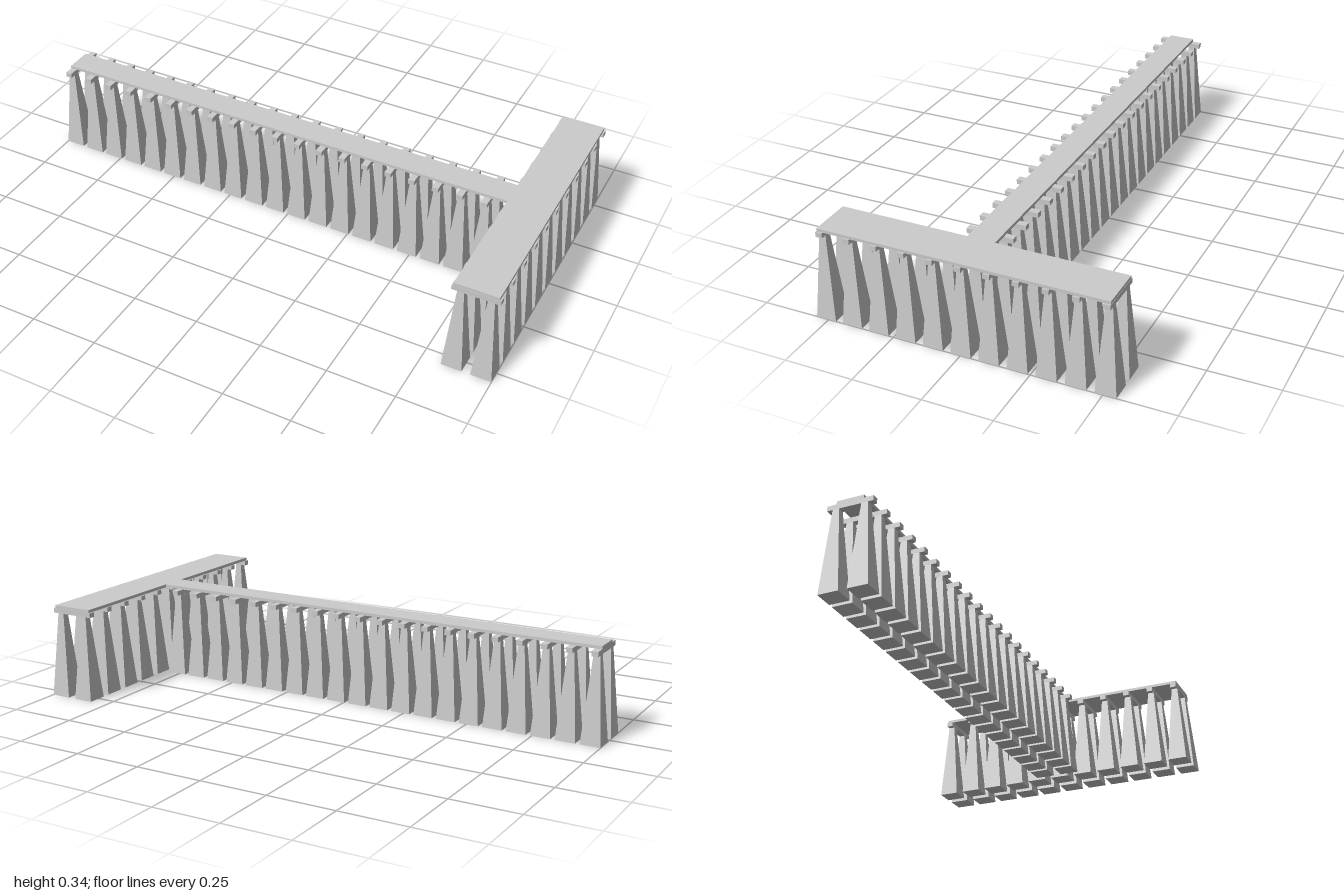
import * as THREE from 'three';

const LEG_TOP = 0.315, BEAM_TOP = 0.333, DECK_TOP = 0.344;
const LEG_OFFSET = 0.0525; // half the spacing of a pair of legs
const BEAM_HALF = 0.085, BEAM_WIDTH = 0.024;

export function createModel() {
  const model = new THREE.Group();
  model.name = 'pier';
  const material = new THREE.MeshStandardMaterial({ color: 0xcccccc, flatShading: true });

  // Square tapered leg, standing on the ground
  const legGeometry = new THREE.CylinderGeometry(0.012 * Math.SQRT2, 0.0372 * Math.SQRT2, LEG_TOP, 4);
  legGeometry.rotateY(Math.PI / 4).translate(0, LEG_TOP / 2, 0);

  // Cross beam resting on a pair of legs
  const beamGeometry = new THREE.BoxGeometry(BEAM_WIDTH, BEAM_TOP - LEG_TOP, BEAM_HALF * 2);
  beamGeometry.translate(0, (LEG_TOP + BEAM_TOP) / 2, 0);

  const add = (parent, name, geometry) => {
    const mesh = new THREE.Mesh(geometry, material);
    mesh.name = name;
    parent.add(mesh);
    return mesh;
  };

  // Trestle: two legs under one beam, spanning local z
  const addTrestle = (name, x, z, turn) => {
    const trestle = new THREE.Group();
    trestle.name = name;
    for (const side of [-1, 1]) add(trestle, 'leg', legGeometry).position.z = side * LEG_OFFSET;
    add(trestle, 'crossBeam', beamGeometry);
    trestle.position.set(x, 0, z);
    trestle.rotation.y = turn;
    model.add(trestle);
  };

  // Long walkway
  for (let i = 0; i < 20; i++) addTrestle('walkwayTrestle', -0.9625 + i * 0.0907, 0, 0);

  // Pier head across the end
  for (let i = -5; i <= 5; i++) addTrestle('headTrestle', 0.91, i * 0.1018, Math.PI / 2);

  // T-shaped deck in one piece
  const outline = [
    [-0.975, -0.05], [0.831, -0.05], [0.831, -0.52], [0.989, -0.52],
    [0.989, 0.52], [0.831, 0.52], [0.831, 0.05], [-0.975, 0.05],
  ];
  const shape = new THREE.Shape(outline.map(([x, z]) => new THREE.Vector2(x, z)));
  const deckGeometry = new THREE.ExtrudeGeometry(shape, { depth: DECK_TOP - BEAM_TOP, bevelEnabled: false });
  deckGeometry.rotateX(-Math.PI / 2).translate(0, BEAM_TOP, 0);
  add(model, 'deck', deckGeometry);

  return model;
}
